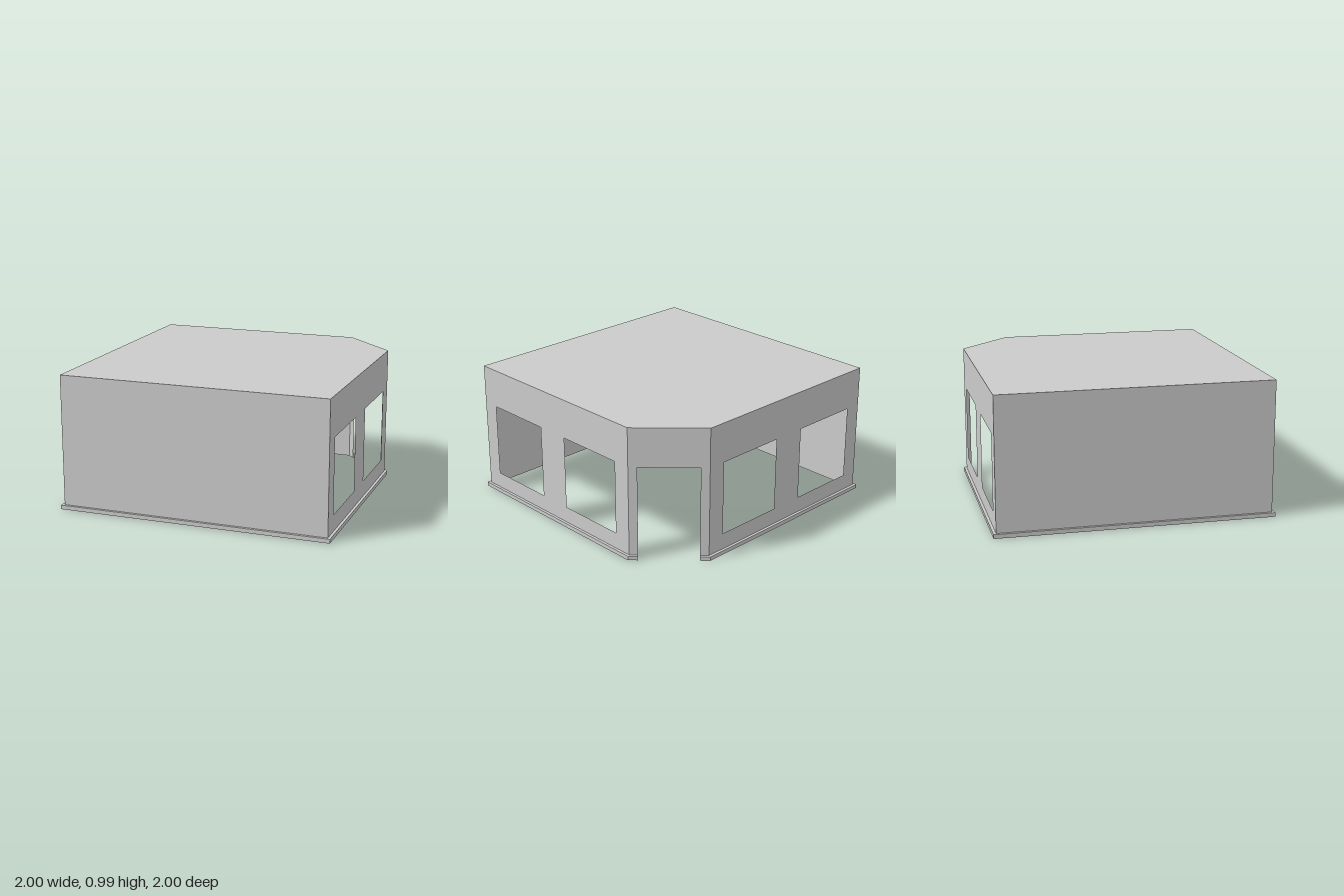
import * as THREE from 'three';

const HEIGHT = 0.985, WINDOW_BOTTOM = 0.15, OPENING_TOP = 0.695;
const W = 0.98, C = 0.592;             // wall plane and start of the cut corner
const JAMB = 0.062;                    // wall left on each side of the door

const material = new THREE.MeshStandardMaterial({ color: 0xcccccc, flatShading: true, side: THREE.DoubleSide });

function addMesh(group, name, geometry) {
  const mesh = new THREE.Mesh(geometry, material);
  mesh.name = name;
  group.add(mesh);
  return mesh;
}

// Shape from a list of [x, y] corners
const polygon = (points) => new THREE.Shape(points.map(([x, y]) => new THREE.Vector2(x, y)));

// Shape on the ground plane from [x, z] corners, laid flat with its front upwards
const plan = (points) => polygon(points.map(([x, z]) => [x, -z]));

// Thin upright wall from a to b ([x, z]), with windows as [start, end] along it
function addWall(group, name, a, b, windows = [], door = null) {
  const dx = b[0] - a[0], dz = b[1] - a[1], length = Math.hypot(dx, dz);
  const outline = [[0, 0]];
  if (door) outline.push([door[0], 0], [door[0], OPENING_TOP], [door[1], OPENING_TOP], [door[1], 0]);
  outline.push([length, 0], [length, HEIGHT], [0, HEIGHT]);
  const shape = polygon(outline);
  for (const [s, e] of windows) {
    shape.holes.push(polygon([[s, WINDOW_BOTTOM], [s, OPENING_TOP], [e, OPENING_TOP], [e, WINDOW_BOTTOM]]));
  }
  const wall = addMesh(group, name, new THREE.ShapeGeometry(shape));
  wall.position.set(a[0], 0, a[1]);
  wall.rotation.y = Math.atan2(-dz, dx);
}

export function createModel() {
  const group = new THREE.Group();
  group.name = 'cornerShopRoom';

  // Walls: two plain, two with windows, and the cut corner with the doorway
  const sideLength = W + C, cornerLength = (W - C) * Math.SQRT2;
  const windows = [[0.125, 0.65], [0.91, 1.44]];
  const mirrored = windows.map(([s, e]) => [sideLength - e, sideLength - s]);
  addWall(group, 'frontWall', [-W, W], [W, W]);
  addWall(group, 'leftWindowWall', [W, W], [W, -C], windows);
  addWall(group, 'doorWall', [W, -C], [C, -W], [], [JAMB, cornerLength - JAMB]);
  addWall(group, 'backWindowWall', [C, -W], [-W, -W], mirrored);
  addWall(group, 'rightWall', [-W, -W], [-W, W]);

  // Flat roof
  const roof = addMesh(group, 'roof', new THREE.ShapeGeometry(
    plan([[-W, W], [W, W], [W, -C], [C, -W], [-W, -W]])));
  roof.rotation.x = -Math.PI / 2;
  roof.position.y = HEIGHT;

  // Skirting around the outside, returning along the cut corner to the door
  const j = JAMB / Math.SQRT2, t = 0.02 / Math.SQRT2;
  const inner = [[W - j, -C - j], [W, -C], [W, W], [-W, W], [-W, -W], [C, -W], [C + j, -W + j]];
  const outer = [[W - j + t, -C - j - t], [1, -0.6], [1, 1], [-1, 1], [-1, -1], [0.6, -1], [C + j + t, -W + j - t]];
  const skirting = addMesh(group, 'skirting', new THREE.ExtrudeGeometry(
    plan([...outer, ...inner.reverse()]), { depth: 0.03, bevelEnabled: false }));
  skirting.rotation.x = -Math.PI / 2;

  return group;
}
